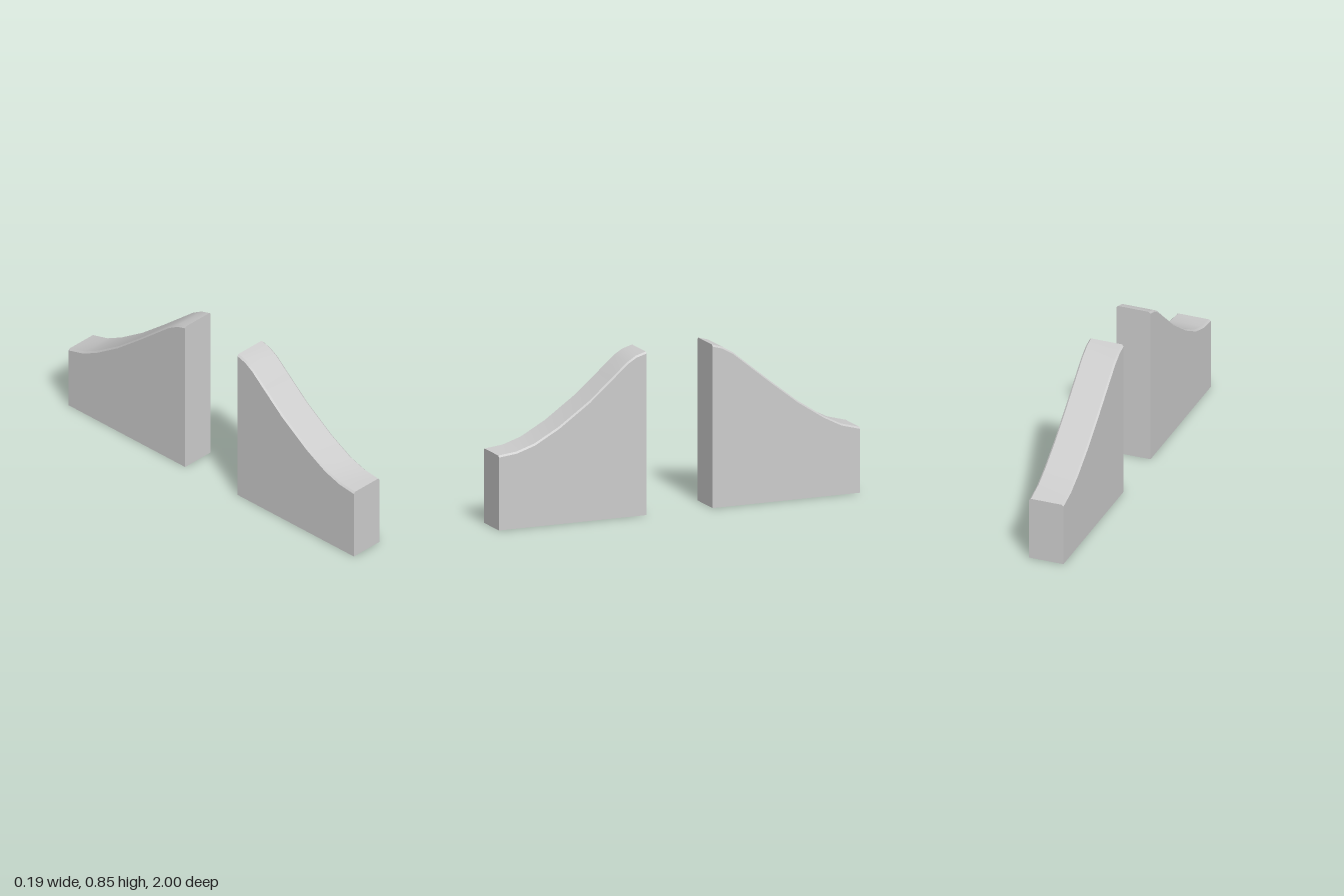
import * as THREE from 'three';
import { toCreasedNormals } from 'three/addons/utils/BufferGeometryUtils.js';

const HALF_WIDTH = 0.093;
const CHAMFER = 0.009;

// Top line of each ramp as [z, height], running towards +z
const FRONT_PROFILE = [
  [0.183, 0.847], [0.238, 0.831], [0.286, 0.802], [0.37, 0.729], [0.495, 0.622],
  [0.666, 0.503], [0.8, 0.43], [0.9, 0.398], [1, 0.387],
];
const BACK_PROFILE = [
  [-1, 0.34], [-0.896, 0.368], [-0.8, 0.417], [-0.655, 0.511], [-0.5, 0.632],
  [-0.297, 0.797], [-0.238, 0.831], [-0.183, 0.847],
];

// Hollow shell, open underneath, with chamfered long top edges
function rampGeometry(profile) {
  const w = HALF_WIDTH, c = CHAMFER;
  const positions = [];
  const index = [];
  for (const [z, y] of profile) {
    const section = [[-w, 0], [-w, y - c], [c - w, y], [w - c, y], [w, y - c], [w, 0]];
    for (const [px, py] of section) positions.push(px, py, z);
  }

  // Sides, chamfers and sloping top
  const n = 6;
  for (let i = 0; i < profile.length - 1; i++) {
    for (let j = 0; j < n - 1; j++) {
      const a = i * n + j, b = a + 1, d = a + n, e = d + 1;
      index.push(a, d, e, a, e, b);
    }
  }

  // End walls
  const last = (profile.length - 1) * n;
  for (let k = 1; k < n - 1; k++) {
    index.push(0, k, k + 1);
    index.push(last, last + k + 1, last + k);
  }

  const geometry = new THREE.BufferGeometry();
  geometry.setAttribute('position', new THREE.Float32BufferAttribute(positions, 3));
  geometry.setIndex(index);
  return toCreasedNormals(geometry, Math.PI / 6);
}

export function createModel() {
  const model = new THREE.Group();
  model.name = 'rampPair';
  const material = new THREE.MeshStandardMaterial({ color: 0xcccccc, side: THREE.DoubleSide });

  for (const [name, profile] of [['frontRamp', FRONT_PROFILE], ['backRamp', BACK_PROFILE]]) {
    const ramp = new THREE.Mesh(rampGeometry(profile), material);
    ramp.name = name;
    model.add(ramp);
  }
  return model;
}
